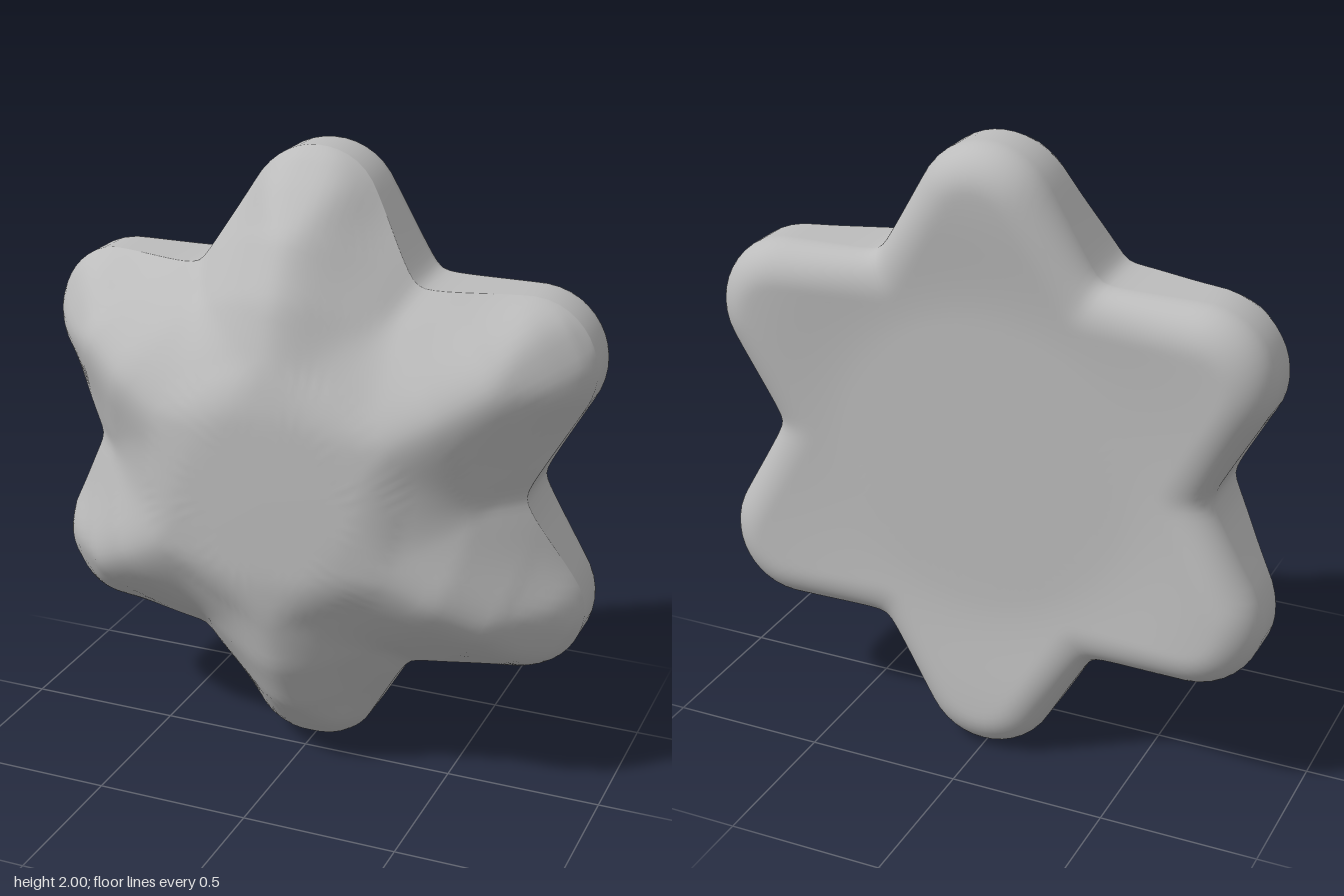
import * as THREE from 'three';

const SIDE = 0.61;                // distance of the straight star edges from the centre
const TIP_C = 0.78, TIP_R = 0.22; // rounded tip: centre distance and radius
const NOTCH = [0.61, 0.352];      // inner corner beside an arm, in arm coordinates
const BACK_EDGE = -0.21;

// height of the ridge along an arm: [radius, z]
const RIDGE = [[0, 0.333], [0.28, 0.33], [0.4, 0.31], [0.6, 0.255], [0.77, 0.165], [0.9, 0.035], [0.97, -0.045], [1, -0.1]];

function ridge(r) {
  for (let i = 1; i < RIDGE.length; i++) {
    const [r0, z0] = RIDGE[i - 1], [r1, z1] = RIDGE[i];
    if (r <= r1) return z0 + (z1 - z0) * (r - r0) / (r1 - r0);
  }
  return RIDGE[RIDGE.length - 1][1];
}

// angle away from the nearest arm axis, softened in the valleys
function fold(t) {
  const p = Math.PI / 3;
  const a = Math.abs(t - Math.PI / 2 - p * Math.round((t - Math.PI / 2) / p));
  return Math.abs(p / 2 - Math.hypot(p / 2 - a, 0.04));
}

// outline radius at a folded angle
function outline(a) {
  const s = TIP_C * Math.sin(a);
  return a < Math.atan2(TIP_R * 0.866, TIP_C + TIP_R / 2)
    ? TIP_C * Math.cos(a) + Math.sqrt(TIP_R * TIP_R - s * s)
    : SIDE / Math.cos(Math.PI / 3 - a);
}

// distance to the outline: round tip, straight edge or inner corner
function inset(r, a) {
  const u = r * Math.cos(a), v = r * Math.sin(a);
  const cu = u - NOTCH[0], cv = v - NOTCH[1];
  if (0.5 * cv - 0.866 * cu > 0) return Math.hypot(cu, cv);
  const d = u > TIP_C && v < (u - TIP_C) * Math.sqrt(3)
    ? TIP_R - Math.hypot(u - TIP_C, v)
    : SIDE - 0.5 * u - 0.866 * v;
  return Math.max(0, d);
}

// arms slope from the ridge to the rim, which sits further forward in the valleys
function frontZ(r, a) {
  const edge = -0.1 + 0.09 * THREE.MathUtils.smoothstep(a, 0.1, 0.5);
  const w = Math.max(0.001, Math.min(0.4, inset(r, 0)));
  const k = Math.min(1, inset(r, a) / w);
  return edge + (ridge(r) - edge) * (1 - (1 - k) ** 1.8);
}

// shallow dished back with a rounded rim
function backZ(r, a) {
  const z = -0.29 - 0.043 * THREE.MathUtils.smoothstep(r, 0.45, 0.92);
  const q = 1 - Math.min(1, inset(r, a) / 0.13);
  return BACK_EDGE + (z - BACK_EDGE) * Math.sqrt(1 - q * q);
}

function starGeometry() {
  const segs = 192, n = 36, pos = [], index = [];
  // rings run from the front centre over the rim to the back centre
  const rings = [];
  for (let i = 0; i <= n; i++) rings.push([1 - (1 - i / n) ** 2, frontZ]);
  for (let i = n; i >= 0; i--) rings.push([1 - (1 - i / n) ** 2, backZ]);
  for (const [s, height] of rings) {
    for (let j = 0; j < segs; j++) {
      const t = j / segs * Math.PI * 2, a = fold(t), r = s * outline(a);
      pos.push(r * Math.cos(t), r * Math.sin(t), height(r, a));
    }
  }
  for (let i = 0; i < rings.length - 1; i++) {
    for (let j = 0; j < segs; j++) {
      const k = (j + 1) % segs;
      const a = i * segs + j, b = a + segs, c = (i + 1) * segs + k, d = i * segs + k;
      if (i < rings.length - 2) index.push(a, b, c);
      else index.push(a, b, d);
      if (i > 0 && i < rings.length - 2) index.push(a, c, d);
    }
  }
  const g = new THREE.BufferGeometry();
  g.setAttribute('position', new THREE.Float32BufferAttribute(pos, 3));
  g.setIndex(index);
  g.computeVertexNormals();
  return g;
}

export function createModel() {
  const group = new THREE.Group();
  group.name = 'softStar';
  const grey = new THREE.MeshStandardMaterial({ color: 0xbcbcbc });
  grey.name = 'grey';
  const body = new THREE.Mesh(starGeometry(), grey);
  body.name = 'starBody';
  body.position.y = 1;
  group.add(body);
  return group;
}
